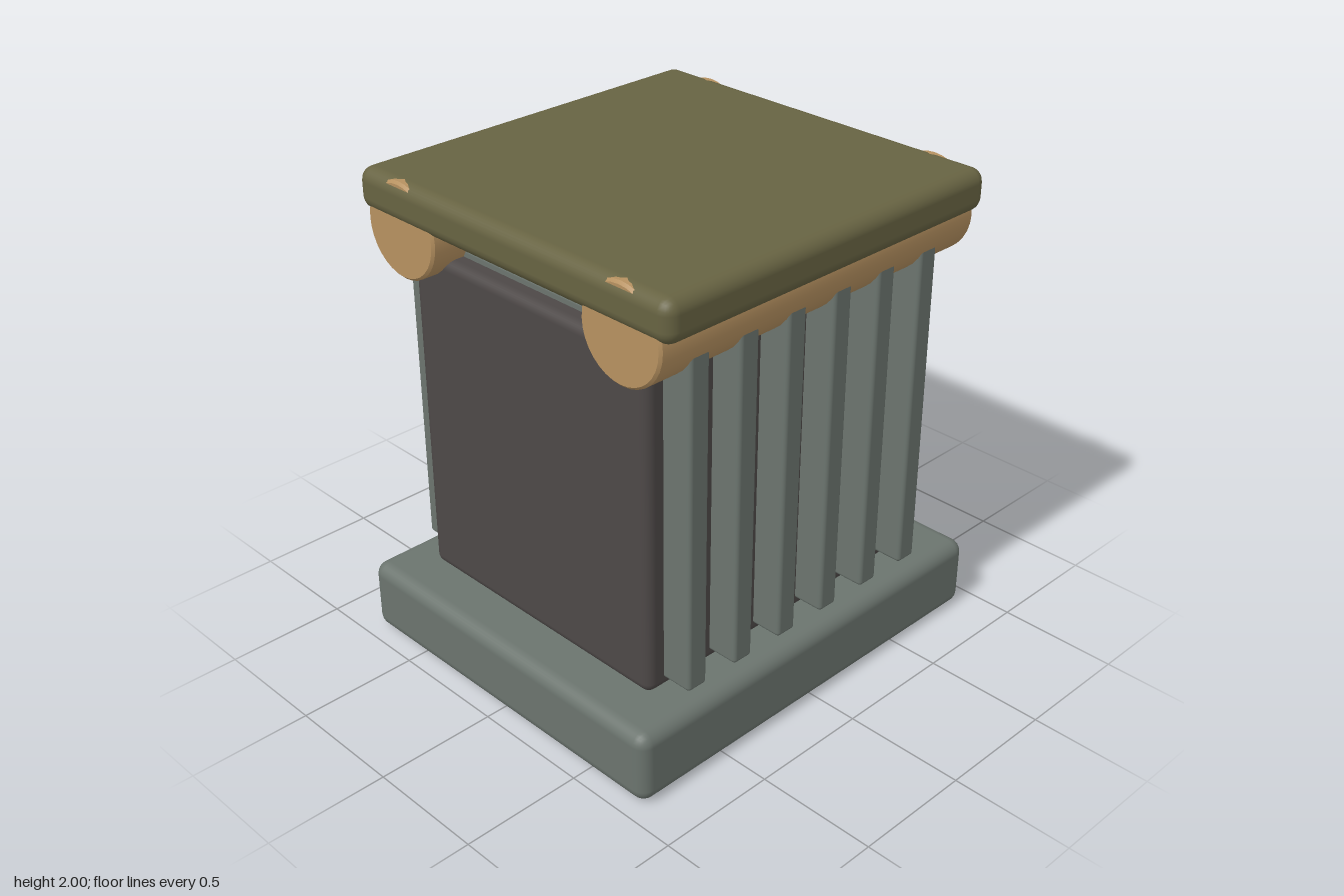
import * as THREE from 'three';
import { toCreasedNormals } from 'three/addons/utils/BufferGeometryUtils.js';
import { RoundedBoxGeometry } from 'three/addons/geometries/RoundedBoxGeometry.js';

function material(name, color) {
  const m = new THREE.MeshStandardMaterial({ color });
  m.name = name;
  return m;
}

export function createModel() {
  const model = new THREE.Group();
  model.name = 'flutedPedestal';

  const stone = material('grey stone', 0x6b746e);
  const dark = material('dark core', 0x4d4847);
  const olive = material('olive slab', 0x676342);
  const tan = material('tan scroll', 0xb69160);

  // Box with rounded edges, given by its size, centre x/z and bottom/top heights
  function block(name, mat, width, y0, y1, depth, bevel, z = 0) {
    const geometry = new RoundedBoxGeometry(width, y1 - y0, depth, 3, bevel);
    const mesh = new THREE.Mesh(geometry, mat);
    mesh.name = name;
    mesh.position.set(0, (y0 + y1) / 2, z);
    model.add(mesh);
  }

  block('base', stone, 1.605, 0, 0.305, 1.865, 0.055);
  block('core', dark, 1.26, 0.305, 1.71, 1.475, 0.04);
  block('topSlab', olive, 1.65, 1.83, 2.0, 1.65, 0.055);

  // Upright fins pass right through the core and stand out on both sides
  for (let i = 0; i < 6; i++) {
    block('fin', stone, 1.52, 0.352, 1.743, 0.094, 0.016, 0.612 - i * 0.2395);
  }

  // Scroll rolls run front to back, half sunk into the slab
  const r = 0.193, half = 0.815, b = 0.01;
  const profile = [
    [0, -half], [r - b, -half], [r, -half + b],
    [r, half - b], [r - b, half], [0, half],
  ].map(([x, y]) => new THREE.Vector2(x, y));
  const rollGeometry = toCreasedNormals(new THREE.LatheGeometry(profile, 32), 0.6);
  rollGeometry.rotateX(Math.PI / 2);
  for (const side of [1, -1]) {
    const roll = new THREE.Mesh(rollGeometry, tan);
    roll.name = side > 0 ? 'leftScroll' : 'rightScroll';
    roll.position.set(side * 0.587, 1.806, 0);
    model.add(roll);
  }

  return model;
}
